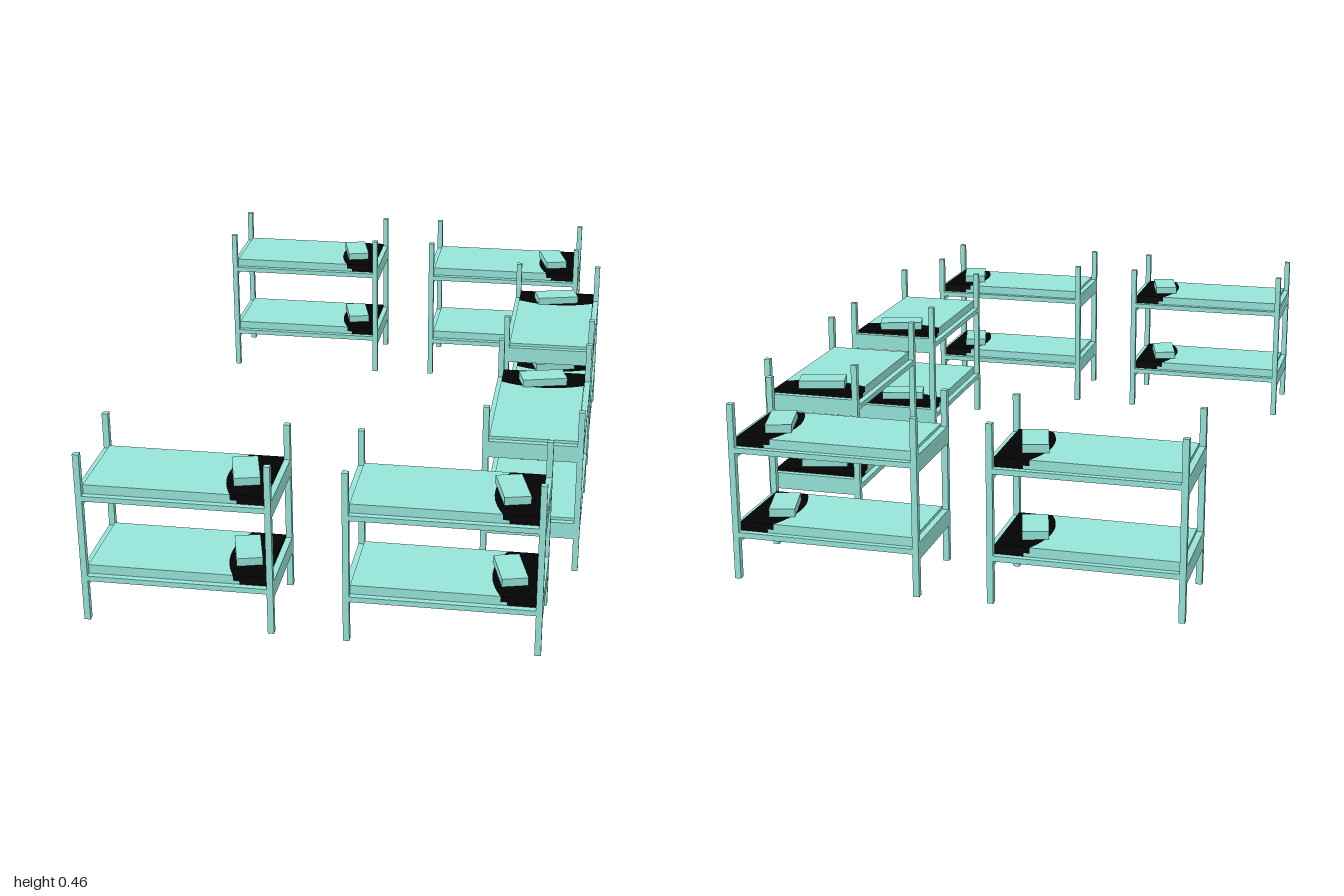
import * as THREE from 'three';

const frameMat = new THREE.MeshStandardMaterial({ color: 0x96e4d8 });
frameMat.name = 'pale teal';
const darkMat = new THREE.MeshStandardMaterial({ color: 0x030303 });
darkMat.name = 'black';

const L = 0.489, W = 0.262, H = 0.46, POST = 0.016;
const TIERS = [0.149, 0.372]; // mattress top heights
const hx = L / 2 - POST, hz = W / 2 - POST; // inner half sizes

function box(parent, name, w, h, d, x, y, z) {
  const mesh = new THREE.Mesh(new THREE.BoxGeometry(w, h, d), frameMat);
  mesh.name = name;
  mesh.position.set(x, y, z);
  parent.add(mesh);
  return mesh;
}

// Slab from one end of the mattress to a curved seam; both halves share the seam
function slab(name, endX, seamSide, seamDepth, y, height, mat) {
  const edge = seamSide * (hx - seamDepth), middle = seamSide * (hx - seamDepth - 0.058);
  const s = new THREE.Shape();
  s.moveTo(endX, -hz);
  s.lineTo(edge, -hz);
  s.quadraticCurveTo(middle, 0, edge, hz);
  s.lineTo(endX, hz);
  s.closePath();
  const geo = new THREE.ExtrudeGeometry(s, { depth: height, bevelEnabled: false, curveSegments: 12 });
  geo.rotateX(-Math.PI / 2);
  const mesh = new THREE.Mesh(geo, mat);
  mesh.name = name;
  mesh.position.y = y;
  return mesh;
}

// Layers of the mattress: dark end side, dark depth, bottom (below the top), height
const LAYERS = [
  [1, 0.088, -0.015, 0.015], // upper part, dark at the head
  [1, 0.072, -0.025, 0.010], // middle part, dark patch tapering in
  [-1, 0.088, -0.034, 0.009], // underside, dark at the foot
];

function createMattress() {
  const mattress = new THREE.Group();
  mattress.name = 'mattress';
  for (const [side, depth, y, height] of LAYERS) {
    mattress.add(
      slab('mattressBody', -side * hx, side, depth, y, height, frameMat),
      slab('mattressDarkEnd', side * hx, side, depth, y, height, darkMat),
    );
  }
  return mattress;
}

function createBunk() {
  const bunk = new THREE.Group();
  bunk.name = 'bunkBed';

  // Corner posts
  for (const sx of [-1, 1]) for (const sz of [-1, 1]) {
    box(bunk, 'post', POST, H, POST, sx * (L - POST) / 2, H / 2, sz * (W - POST) / 2);
  }

  for (const top of TIERS) {
    // Side rails and deeper end boards
    for (const s of [-1, 1]) {
      box(bunk, 'sideRail', 2 * hx, 0.014, POST, 0, top - 0.031, s * (W - POST) / 2);
      box(bunk, 'endBoard', POST, 0.045, 2 * hz, s * (L - POST) / 2, top - 0.0305, 0);
    }
    const mattress = createMattress();
    mattress.position.y = top;
    bunk.add(mattress);
    // Pillow lying askew
    box(bunk, 'pillow', 0.066, 0.021, 0.124, 0.156, top + 0.0105, 0).rotation.y = 0.26;
  }
  return bunk;
}

export function createModel() {
  const model = new THREE.Group();
  model.name = 'bunkBeds';
  // x, z, turned a quarter
  const places = [
    [-0.367, -0.862, false], [0.293, -0.869, false],
    [0.48, -0.348, true], [0.48, 0.314, true],
    [-0.367, 0.859, false], [0.297, 0.865, false],
  ];
  for (const [x, z, turned] of places) {
    const bunk = createBunk();
    bunk.position.set(x, 0, z);
    if (turned) bunk.rotation.y = Math.PI / 2;
    model.add(bunk);
  }
  return model;
}
